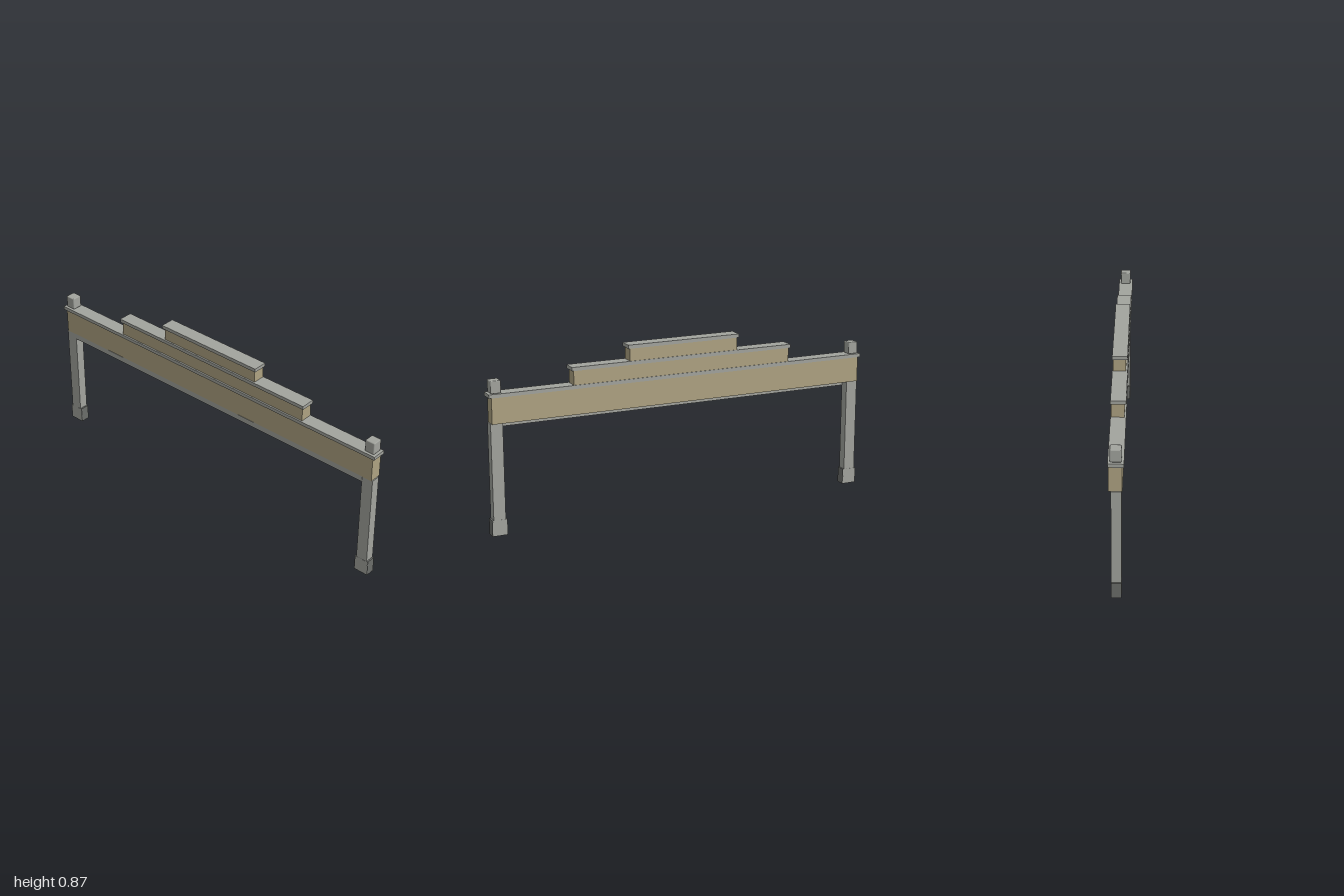
import * as THREE from 'three';
import { RoundedBoxGeometry } from 'three/addons/geometries/RoundedBoxGeometry.js';

export function createModel() {
  const model = new THREE.Group();
  model.name = 'steppedGateway';

  const stone = new THREE.MeshStandardMaterial({ color: 0xa2a49e });
  stone.name = 'greyStone';
  const plaster = new THREE.MeshStandardMaterial({ color: 0xaea382 });
  plaster.name = 'tanPlaster';
  const darkStone = new THREE.MeshStandardMaterial({ color: 0x6b6d6a });
  darkStone.name = 'darkStone';

  // Box given by its extents on each axis
  function block(name, material, [x0, x1], [y0, y1], [z0, z1]) {
    const mesh = new THREE.Mesh(new THREE.BoxGeometry(x1 - x0, y1 - y0, z1 - z0), material);
    mesh.position.set((x0 + x1) / 2, (y0 + y1) / 2, (z0 + z1) / 2);
    mesh.name = name;
    model.add(mesh);
    return mesh;
  }

  // Three wall tiers, each with an overhanging coping
  const tiers = [
    { name: 'lower', wall: 0.987, cap: 1.0, bottom: 0.553, top: 0.68 },
    { name: 'middle', wall: 0.578, cap: 0.587, bottom: 0.698, top: 0.768 },
    { name: 'upper', wall: 0.288, cap: 0.297, bottom: 0.786, top: 0.848 },
  ];
  for (const t of tiers) {
    block(t.name + 'Wall', plaster, [-t.wall, t.wall], [t.bottom, t.top], [-0.033, 0.028]);
    block(t.name + 'Coping', stone, [-t.cap, t.cap], [t.top, t.top + 0.018], [-0.036, 0.036]);
  }

  // Thin lip hanging below the front of the wall
  block('lintelLip', stone, [-0.935, 0.935], [0.525, 0.555], [0.021, 0.0282]);

  // Mirrored posts, feet and finials
  for (const [side, s] of [['left', 1], ['right', -1]]) {
    const span = (a, b) => (s > 0 ? [a, b] : [-b, -a]);
    block(side + 'Post', stone, span(0.932, 0.992), [0.03, 0.553], [-0.022, 0.025]);
    block(side + 'Foot', darkStone, span(0.924, 1.0), [0, 0.08], [-0.022, 0.025]);
    // Pale facings on the front and back of the foot
    block(side + 'FootFrontFacing', stone, span(0.926, 0.998), [0.002, 0.079], [0.0245, 0.0255]);
    block(side + 'FootBackFacing', stone, span(0.926, 0.998), [0.002, 0.079], [-0.0225, -0.0215]);

    const finial = new THREE.Mesh(new RoundedBoxGeometry(0.052, 0.062, 0.052, 1, 0.005), stone);
    finial.name = side + 'Finial';
    finial.position.set(s * 0.962, 0.729, -0.001);
    model.add(finial);
  }

  return model;
}
